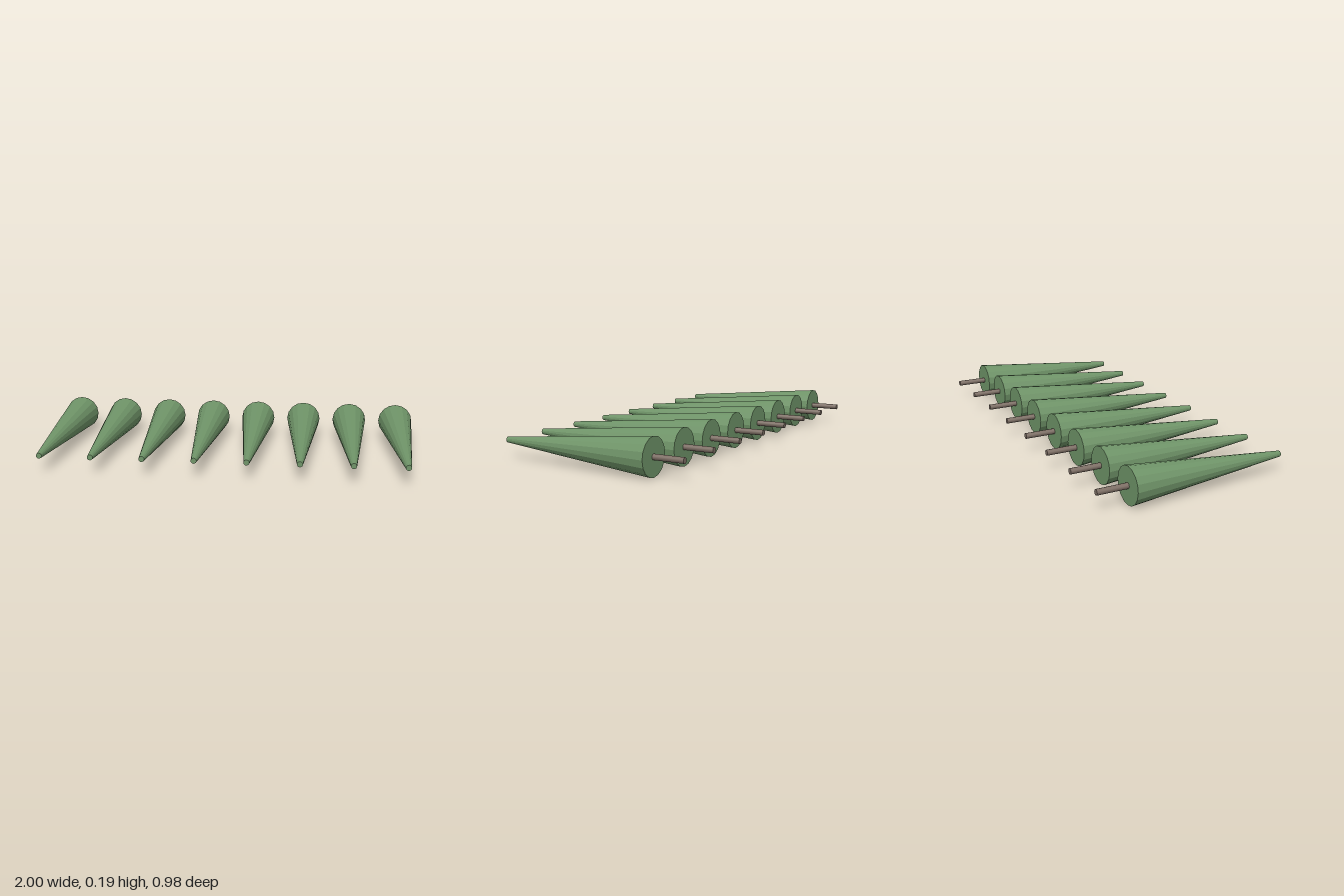
import * as THREE from 'three';

export function createModel() {
  const model = new THREE.Group();
  model.name = 'treeRow';

  const green = new THREE.MeshStandardMaterial({ color: 0x6f9468 });
  green.name = 'foliageGreen';
  green.flatShading = true;
  const brown = new THREE.MeshStandardMaterial({ color: 0x7d6e64 });
  brown.name = 'barkBrown';

  // Tapered foliage with a blunt tip at the front
  const foliageGeometry = new THREE.CylinderGeometry(0.0145, 0.0925, 0.826, 16);
  foliageGeometry.rotateX(Math.PI / 2).translate(0, 0, 0.078);

  // Thin trunk sticking out at the back
  const trunkGeometry = new THREE.CylinderGeometry(0.0145, 0.0145, 0.157, 12);
  trunkGeometry.rotateX(Math.PI / 2).translate(0, 0, -0.4125);

  // Eight trees lying side by side
  const count = 8, reach = 0.9075;
  for (let i = 0; i < count; i++) {
    const tree = new THREE.Group();
    tree.name = `tree${i + 1}`;
    const foliage = new THREE.Mesh(foliageGeometry, green);
    foliage.name = 'foliage';
    const trunk = new THREE.Mesh(trunkGeometry, brown);
    trunk.name = 'trunk';
    tree.add(foliage, trunk);
    tree.position.set(-reach + (2 * reach * i) / (count - 1), 0.0928, 0);
    model.add(tree);
  }
  return model;
}
